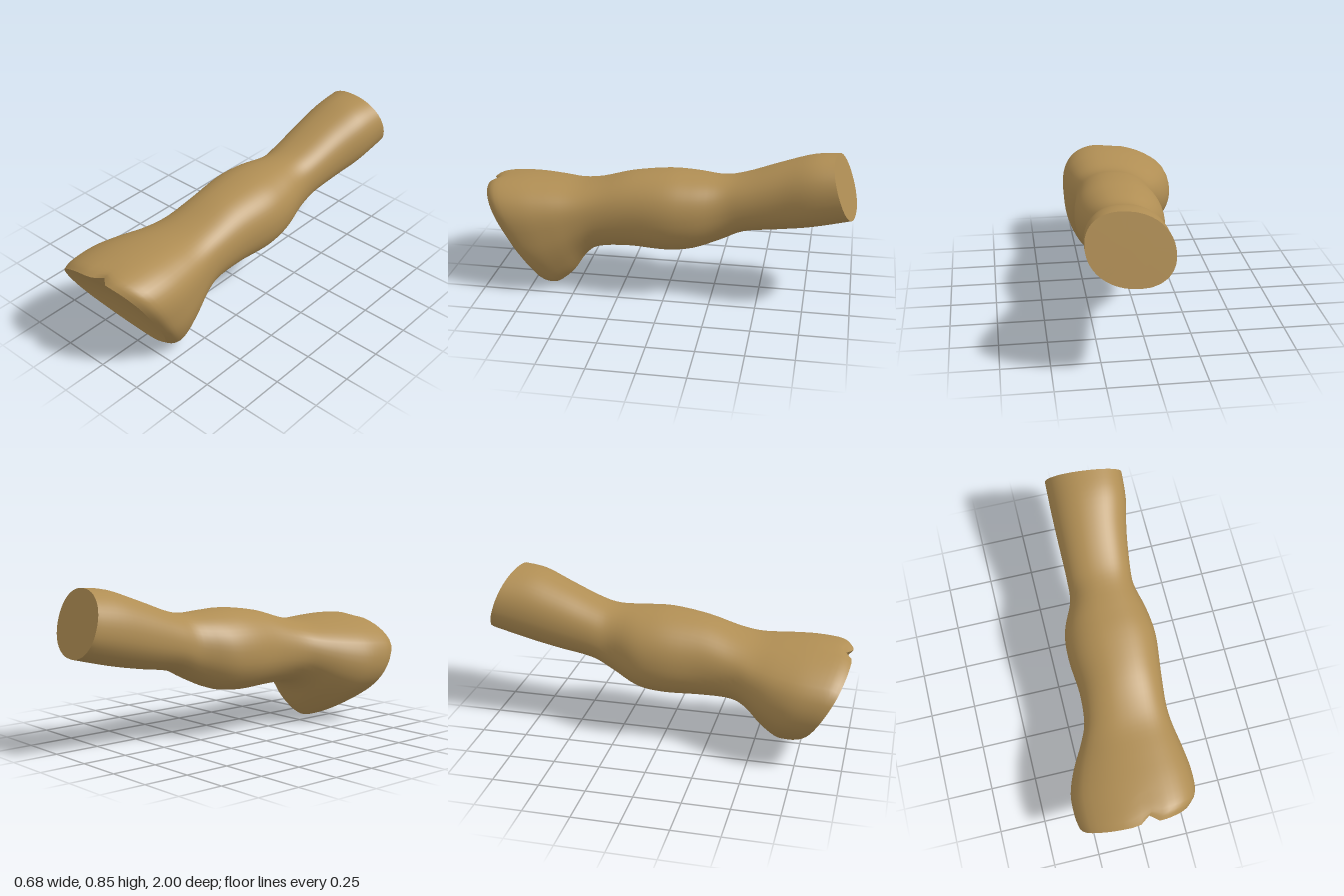
import * as THREE from 'three';

const SIDES = 48;

// Outline of the flared end, counter-clockwise seen from the front
const flare = [
  [0.31, 0.33], [0.307, 0.45], [0.27, 0.53], [0.2, 0.58], [0.1, 0.6], [-0.06, 0.585],
  [-0.2, 0.54], [-0.31, 0.46], [-0.34, 0.34], [-0.3, 0.23], [-0.17, 0.117], [0, 0.025],
  [0.1, 0], [0.2, 0.045], [0.26, 0.13], [0.298, 0.23],
].map(([x, y]) => new THREE.Vector3((x + 0.015) / 0.325, (y - 0.3) / 0.3, 0));
const outline = new THREE.CatmullRomCurve3(flare, true).getPoints(SIDES).slice(0, SIDES);

// Sections from front to back: zTop, zBottom, xMin, xMax, yMin, yMax, flare amount, sideways slant
const sections = [
  [1.005, 0.70, -0.33, 0.26, 0.018, 0.557, 1, -0.015],
  [0.95, 0.66, -0.34, 0.302, 0.002, 0.588, 1, -0.01],
  [0.80, 0.60, -0.335, 0.31, 0.01, 0.6, 1, 0],
  [0.65, 0.52, -0.29, 0.295, 0.08, 0.597, 0.9, 0],
  [0.50, 0.45, -0.225, 0.275, 0.18, 0.592, 0.65, 0],
  [0.37, 0.37, -0.18, 0.27, 0.235, 0.615, 0.3, 0],
  [0.20, 0.20, -0.165, 0.285, 0.25, 0.665, 0, 0],
  [0.00, 0.00, -0.18, 0.308, 0.245, 0.692, 0, 0],
  [-0.15, -0.15, -0.165, 0.295, 0.265, 0.69, 0, 0],
  [-0.30, -0.30, -0.1, 0.26, 0.33, 0.685, 0, 0],
  [-0.42, -0.42, -0.09, 0.265, 0.39, 0.71, 0, 0],
  [-0.60, -0.60, -0.09, 0.29, 0.42, 0.78, 0, 0.005],
  [-0.76, -0.78, -0.09, 0.325, 0.455, 0.838, 0, 0.015],
  [-0.885, -0.995, -0.085, 0.337, 0.51, 0.853, 0, 0.025],
];

// Slightly squared circle coordinate
const square = (c) => Math.sign(c) * Math.abs(c) ** 0.92;

// One ring of points for a section
function ring([zT, zB, x0, x1, y0, y1, w, slant]) {
  return outline.map((p) => {
    const a = Math.atan2(p.y, p.x);
    const u = THREE.MathUtils.lerp(square(Math.cos(a)), p.x, w);
    const v = THREE.MathUtils.lerp(square(Math.sin(a + 0.1)), p.y, w);
    const x = (x0 + x1) / 2 + u * (x1 - x0) / 2;
    const y = (y0 + y1) / 2 + v * (y1 - y0) / 2;
    let z = (zT + zB) / 2 + v * (zT - zB) / 2 + slant * u;
    // small notch in the upper lip
    if (v > 0.5 && z > 0.85) z -= 0.045 * Math.exp(-(((x - 0.015) / 0.03) ** 2));
    return new THREE.Vector3(x, y, z);
  });
}

// Smooth skin over a list of rings
function skin(rings) {
  const positions = rings.flat().flatMap((p) => [p.x, p.y, p.z]);
  const index = [];
  for (let i = 0; i < rings.length - 1; i++) {
    for (let j = 0; j < SIDES; j++) {
      const k = (j + 1) % SIDES;
      const a = i * SIDES + j, b = i * SIDES + k;
      const c = a + SIDES, d = b + SIDES;
      index.push(a, c, b, b, c, d);
    }
  }
  const g = new THREE.BufferGeometry();
  g.setAttribute('position', new THREE.Float32BufferAttribute(positions, 3));
  g.setIndex(index);
  g.computeVertexNormals();
  return g;
}

// Rings shrinking to a centre, pushed back by a depth
function fill(rim, center, scales, depth) {
  return scales.map((s) => rim.map((p) => {
    const q = center.clone().lerp(p, s);
    q.z -= depth * (1 - s * s);
    return q;
  }));
}

// Catmull-Rom value between neighbouring sections
function between(i, t) {
  const at = (n) => sections[THREE.MathUtils.clamp(n, 0, sections.length - 1)];
  return at(i).map((p1, c) => {
    const p0 = at(i - 1)[c], p2 = at(i + 1)[c], p3 = at(i + 2)[c];
    const m1 = (p2 - p0) / 2, m2 = (p3 - p1) / 2;
    return p1 + t * (m1 + t * (3 * (p2 - p1) - 2 * m1 - m2 + t * (2 * (p1 - p2) + m1 + m2)));
  });
}

export function createModel() {
  const group = new THREE.Group();
  group.name = 'bone';
  const tan = new THREE.MeshStandardMaterial({ color: 0xb08e54 });
  tan.name = 'tan';

  const add = (name, rings) => {
    const mesh = new THREE.Mesh(skin(rings), tan);
    mesh.name = name;
    group.add(mesh);
  };

  // Shaft with its flared front and swollen middle
  const rings = [];
  for (let i = 0; i < sections.length - 1; i++) {
    for (let s = 0; s < 4; s++) rings.push(ring(between(i, s / 4)));
  }
  rings.push(ring(sections[sections.length - 1]));
  add('shaft', rings);

  // Shallow hollow of the front face
  const front = rings[0];
  add('frontHollow', fill(front, new THREE.Vector3(0, 0.3, 0.86), [0, 0.2, 0.4, 0.6, 0.8, 0.92, 1], 0.05));

  // Flat slanted cut at the back
  const back = rings[rings.length - 1];
  add('backCut', fill(back, new THREE.Vector3(0.126, 0.6815, -0.94), [1, 0.5, 0], 0));

  return group;
}
